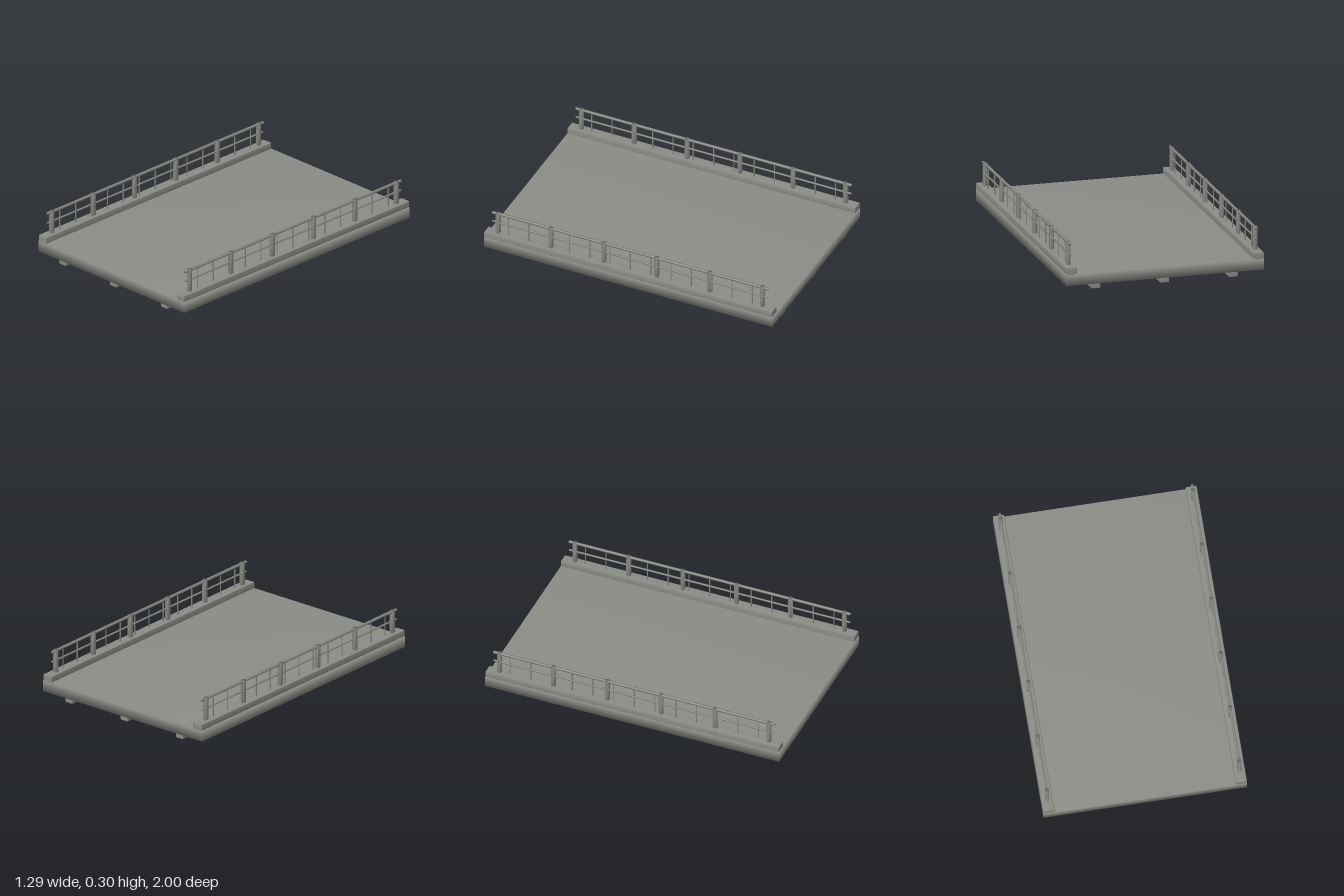
import * as THREE from 'three';
import { mergeVertices } from 'three/addons/utils/BufferGeometryUtils.js';
import { ConvexGeometry } from 'three/addons/geometries/ConvexGeometry.js';

const concrete = new THREE.MeshStandardMaterial({ color: 0x8a8c86 });
concrete.name = 'grey concrete';

// Weld corners so that shading runs smoothly round the block
function weld(geometry) {
  geometry.deleteAttribute('normal');
  geometry.deleteAttribute('uv');
  const welded = mergeVertices(geometry, 1e-5);
  welded.computeVertexNormals();
  return welded;
}

// Box with small chamfers on every edge
function chamferedBox(w, h, d, c) {
  const points = [];
  for (const sx of [-1, 1]) for (const sy of [-1, 1]) for (const sz of [-1, 1]) {
    const x = w / 2, y = h / 2, z = d / 2;
    points.push(
      new THREE.Vector3(sx * x, sy * (y - c), sz * (z - c)),
      new THREE.Vector3(sx * (x - c), sy * y, sz * (z - c)),
      new THREE.Vector3(sx * (x - c), sy * (y - c), sz * z));
  }
  return new ConvexGeometry(points);
}

// Block given by its centre x and z, its bottom and top, width and depth
function addBlock(parent, name, x, z, y0, y1, w, d, chamfer = 0) {
  const h = y1 - y0;
  const geometry = chamfer ? chamferedBox(w, h, d, chamfer) : new THREE.BoxGeometry(w, h, d);
  const mesh = new THREE.Mesh(weld(geometry), concrete);
  mesh.name = name;
  mesh.position.set(x, (y0 + y1) / 2, z);
  parent.add(mesh);
}

// Kerb with posts, rails and thin balusters on one side
function createSide(side) {
  const group = new THREE.Group();
  group.name = side > 0 ? 'leftRailing' : 'rightRailing';
  const x = side * 0.611;

  addBlock(group, 'kerb', side * 0.612, 0, 0.108, 0.15, 0.07, 2, 0.004);
  for (let i = 0; i < 6; i++) {
    addBlock(group, 'post', x, -0.917 + i * 0.3668, 0.148, 0.302, 0.024, 0.024);
  }
  addBlock(group, 'topRail', x, 0, 0.287, 0.3, 0.014, 1.914);
  addBlock(group, 'middleRail', x, 0, 0.224, 0.232, 0.01, 1.914);
  for (let i = -6; i <= 6; i++) {
    addBlock(group, 'baluster', x, i * 0.141, 0.148, 0.28, 0.006, 0.006);
  }
  return group;
}

export function createModel() {
  const model = new THREE.Group();
  model.name = 'bridgeDeck';

  // Road slab
  addBlock(model, 'slab', 0, 0, 0.036, 0.108, 1.294, 2);

  // Girders under the slab
  for (const x of [-0.45, 0, 0.45]) {
    addBlock(model, 'girder', x, 0, 0, 0.038, 0.06, 1.97, 0.004);
  }

  for (const side of [-1, 1]) model.add(createSide(side));
  return model;
}
